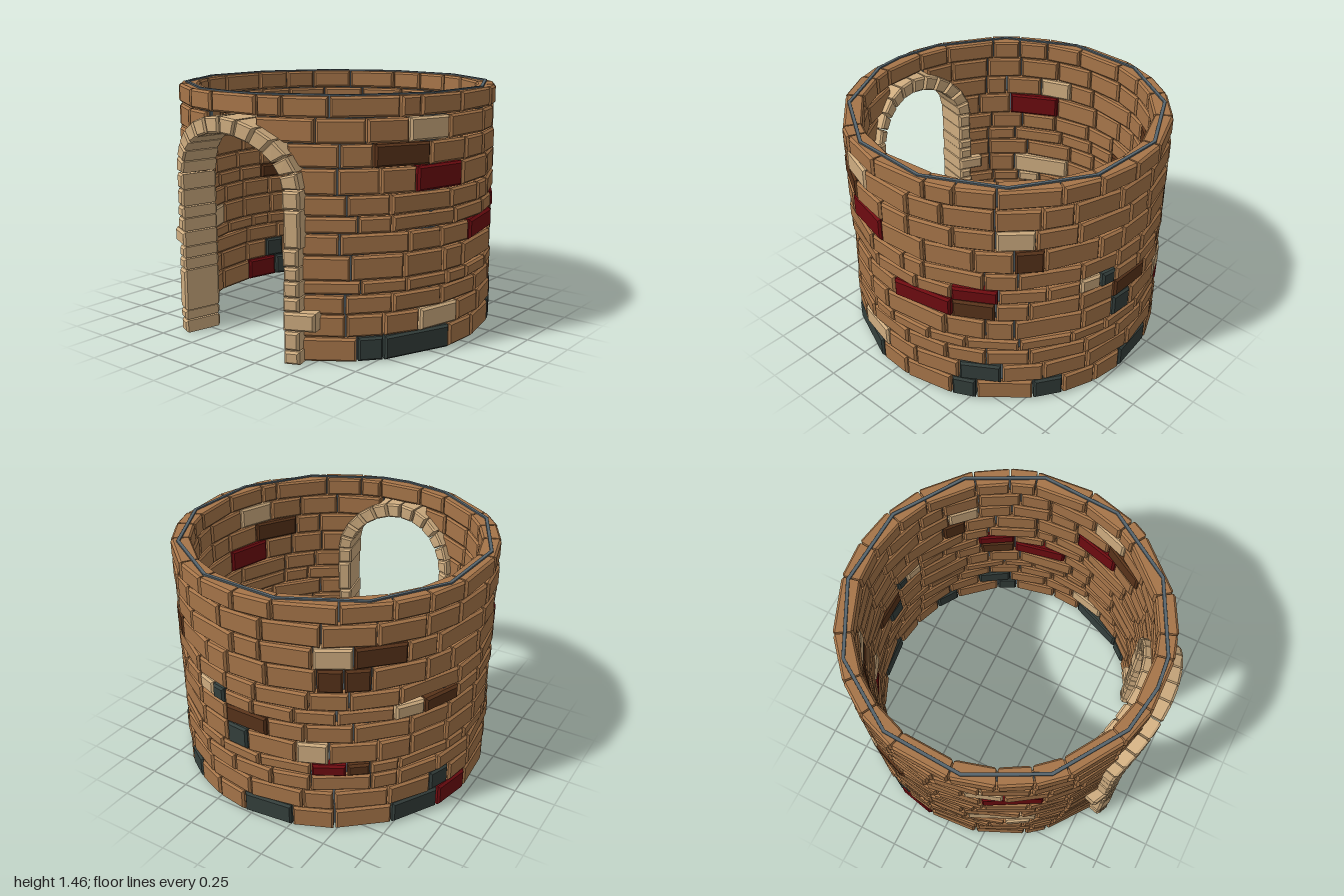
import * as THREE from 'three';
import { mergeGeometries } from 'three/addons/utils/BufferGeometryUtils.js';

const CZ = -0.04;            // centre of the ring in z
const R0 = 0.85, R1 = 0.967; // inner and outer wall radius
const DEG = Math.PI / 180;

const mat = (name, color) => {
  const m = new THREE.MeshStandardMaterial({ color });
  m.name = name;
  return m;
};

// Chamfered block: a polygon in (s, y), lofted outwards through four radii.
function block(poly, r0, r1, bevel, place) {
  const cs = poly.reduce((t, p) => t + p[0], 0) / poly.length;
  const cy = poly.reduce((t, p) => t + p[1], 0) / poly.length;
  const hs = Math.max(...poly.map(p => Math.abs(p[0] - cs)));
  const hy = Math.max(...poly.map(p => Math.abs(p[1] - cy)));
  const rings = [[r0, bevel], [r0 + bevel, 0], [r1 - bevel, 0], [r1, bevel]].map(([r, inset]) =>
    poly.map(([s, y]) => place(cs + (s - cs) * (1 - inset / hs), cy + (y - cy) * (1 - inset / hy), r)));
  const n = poly.length, pos = [];
  const tri = (a, b, c) => pos.push(...a, ...b, ...c);
  for (let k = 0; k < 3; k++) {
    for (let i = 0; i < n; i++) {
      const j = (i + 1) % n;
      tri(rings[k][i], rings[k][j], rings[k + 1][j]);
      tri(rings[k][i], rings[k + 1][j], rings[k + 1][i]);
    }
  }
  for (let i = 1; i < n - 1; i++) {
    tri(rings[3][0], rings[3][i], rings[3][i + 1]);
    tri(rings[0][0], rings[0][i + 1], rings[0][i]);
  }
  const g = new THREE.BufferGeometry();
  g.setAttribute('position', new THREE.Float32BufferAttribute(pos, 3));
  g.computeVertexNormals();
  return g;
}

const rect = (s0, s1, y0, y1) => [[s0, y0], [s1, y0], [s1, y1], [s0, y1]];

// Wall bricks: s is arc length, 0 at the front
const onWall = (s, y, r) => [r * Math.sin(s / R1), y, r * Math.cos(s / R1) + CZ];
// Door stones: s is x on the outer face, narrowing inwards
const onDoor = (s, y, r) => {
  const x = s * (0.87 + 0.13 * (r - 0.8) / 0.23);
  return [x, y, Math.sqrt(r * r - x * x) + CZ];
};

// Course heights, and half-angle of the doorway in each course
const ROWS = [0, 0.14, 0.27, 0.38, 0.46, 0.6, 0.72, 0.815, 0.93, 1.075, 1.205, 1.34, 1.457];
const OPEN = [26, 26, 26, 26, 26, 26, 26, 26, 25, 22, 11, 0];

// Odd-coloured bricks per course: colour, start and end angle in degrees
const ODD = [
  [['slate', 45, 54], ['slate', 54, 80], ['slate', 112, 121], ['slate', 141, 152], ['slate', 177, 196],
    ['slate', 231, 250], ['red', 250, 265]],
  [['tan', 67, 84], ['slate', 115, 130], ['slate', 246, 255]],
  [],
  [['red', 203, 215], ['dark', 215, 223], ['tan', 296, 306]],
  [['slate', 171, 180], ['tan', 198, 209], ['tan', 282, 308]],
  [['red', 90, 113], ['dark', 113, 128], ['dark', 171, 188]],
  [['red', 113, 129], ['tan', 157, 165], ['slate', 165, 171], ['tan', 231, 242], ['dark', 242, 257]],
  [],
  [['red', 65, 85], ['dark', 134, 144], ['dark', 205, 214], ['dark', 214, 223], ['red', 288, 310]],
  [['dark', 50, 70], ['tan', 128, 141], ['tan', 204, 217], ['dark', 217, 235], ['tan', 282, 296]],
  [['tan', 62, 78]],
  [],
];

export function createModel() {
  const group = new THREE.Group();
  group.name = 'roundBrickWall';
  const mats = {
    brown: mat('brownBrick', 0xa67549),
    tan: mat('tanStone', 0xcfad80),
    dark: mat('darkBrownBrick', 0x58331a),
    red: mat('redBrick', 0x6e0b10),
    slate: mat('slateBrick', 0x343f3c),
    mortar: mat('greyMortar', 0x56646c),
  };
  const add = (name, geos, material) => {
    const mesh = new THREE.Mesh(mergeGeometries(geos), material);
    mesh.name = name;
    group.add(mesh);
  };

  let seed = 7;
  const rand = () => (seed = (seed * 16807) % 2147483647) / 2147483647;

  // Brick courses
  const bricks = { brown: [], tan: [], dark: [], red: [], slate: [] };
  ODD.forEach((odd, row) => {
    const lay = (colour, a0, a1) => {
      const k = DEG * R1, gap = 0.005;
      const r = R1 - rand() * 0.008;
      bricks[colour].push(block(
        rect(a0 * k + gap, a1 * k - gap, ROWS[row] + 0.003, ROWS[row + 1] - 0.003), R0, r, 0.012, onWall));
    };
    const fill = (a0, a1) => {
      if (a1 - a0 < 1) return;
      const n = Math.max(1, Math.round((a1 - a0) / 16));
      const step = (a1 - a0) / n;
      let a = a0;
      for (let i = 1; i <= n; i++) {
        const b = i === n ? a1 : a0 + step * (i + (rand() - 0.5) * 0.6);
        lay('brown', a, b);
        a = b;
      }
    };
    const shift = row === 11 ? -8 : 0;
    let a = OPEN[row] + shift;
    for (const [colour, a0, a1] of odd) {
      fill(a, a0);
      lay(colour, a0, a1);
      a = a1;
    }
    fill(a, 360 - OPEN[row] + shift);
  });
  const brickNames = { brown: 'brownBricks', tan: 'tanBricks', dark: 'darkBrownBricks', red: 'redBricks', slate: 'slateBricks' };
  for (const c in bricks) add(brickNames[c], bricks[c], mats[c]);

  // Thin twelve-sided mortar core inside the wall
  const mortar = [];
  OPEN.forEach((open, row) => {
    const stops = [open];
    for (let a = 12; a < 360; a += 30) if (a > open + 1 && a < 359 - open) stops.push(a);
    stops.push(360 - open);
    const top = row === 11 ? 1.463 : ROWS[row + 1];
    for (let i = 0; i < stops.length - 1; i++) {
      const k = DEG * R1;
      mortar.push(block(rect(stops[i] * k, stops[i + 1] * k, ROWS[row] + 0.002, top), 0.912, 0.932, 0.0005, onWall));
    }
  });
  add('mortarCore', mortar, mats.mortar);

  // Door pillars: joint heights, with one wide stone on each side
  const stones = [];
  const pillars = [
    { side: 1, wide: 2, y: [0, 0.08, 0.19, 0.3, 0.38, 0.47, 0.55, 0.65, 0.86, 0.965] },
    { side: -1, wide: 5, y: [0, 0.08, 0.14, 0.39, 0.46, 0.53, 0.62, 0.7, 0.77, 0.87, 0.965] },
  ];
  for (const { side, wide, y } of pillars) {
    for (let i = 0; i < y.length - 1; i++) {
      const inner = 0.38 + rand() * 0.008, outer = i === wide ? 0.54 : 0.46 + rand() * 0.012;
      const [s0, s1] = side > 0 ? [inner, outer] : [-outer, -inner];
      stones.push(block(rect(s0, s1, y[i] + 0.003, y[i + 1] - 0.003), 0.8, 1.03, 0.012, onDoor));
    }
  }
  add('doorPillars', stones, mats.tan);

  // Arch stones over the doorway
  const arch = [], N = 12, cy = 0.955;
  for (let i = 0; i < N; i++) {
    const t0 = Math.PI * i / N + 0.012, t1 = Math.PI * (i + 1) / N - 0.012;
    const pt = (t, rx, ry) => [rx * Math.cos(t), cy + 0.012 + ry * Math.sin(t)];
    arch.push(block(
      [pt(t0, 0.38, 0.275), pt(t0, 0.47, 0.368), pt(t1, 0.47, 0.368), pt(t1, 0.38, 0.275)],
      0.8, 1.03, 0.012, onDoor));
  }
  add('doorArch', arch, mats.tan);

  return group;
}
